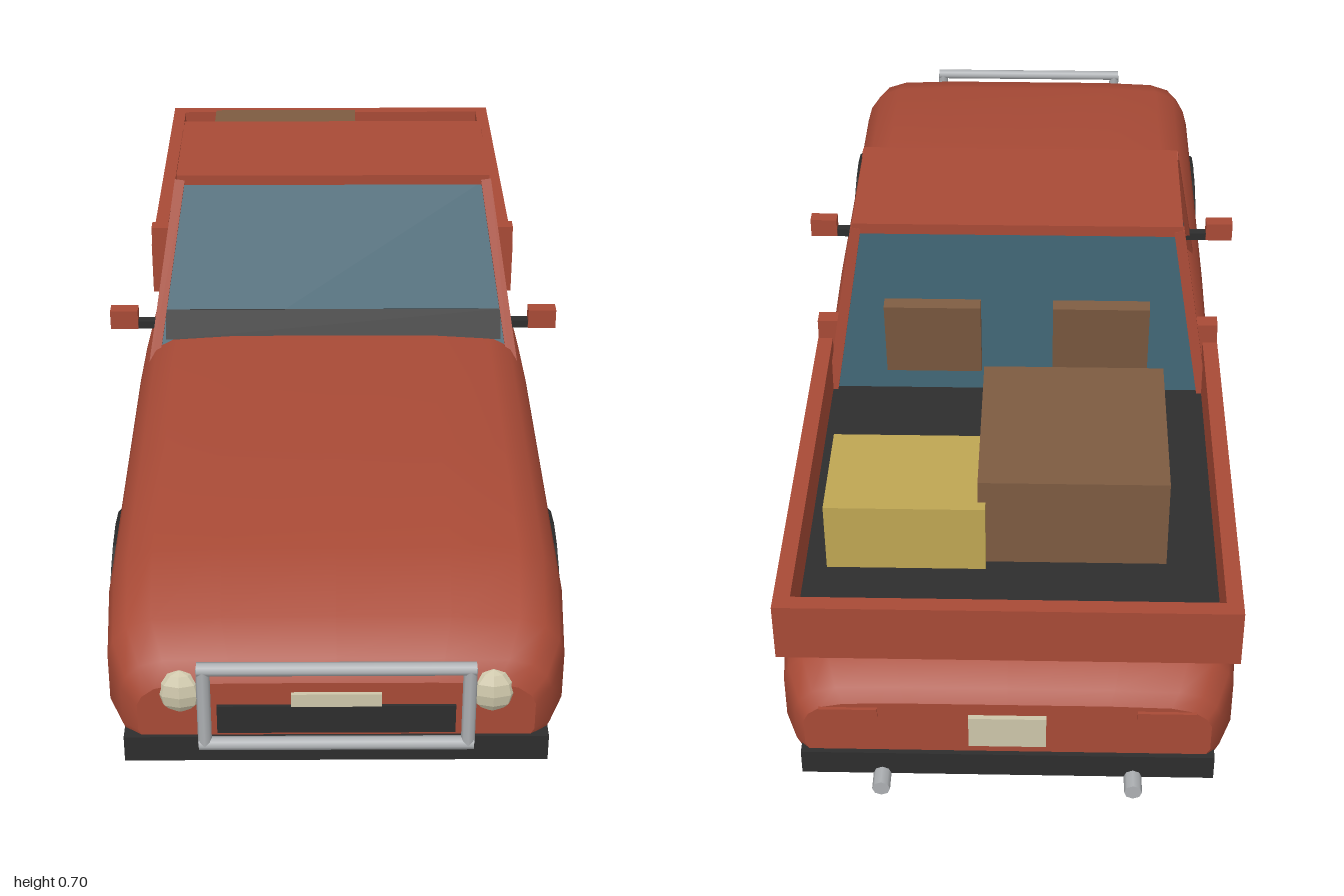
import * as THREE from 'three';

const mat = (name, color, opts = {}) => {
  const m = new THREE.MeshStandardMaterial({ color, ...opts });
  m.name = name;
  return m;
};

export function createModel() {
  const red = mat('red paint', 0xa84a36);
  const dark = mat('dark trim', 0x2d2d2d);
  const rubber = mat('rubber', 0x292929, { flatShading: true });
  const glass = mat('glass', 0x406473);
  const silver = mat('silver metal', 0xadb0b3);
  const cream = mat('cream', 0xcdc6aa, { flatShading: true });
  const brown = mat('brown', 0x7d5b41);
  const yellow = mat('yellow', 0xbfa653);

  const model = new THREE.Group();
  model.name = 'pickupTruck';

  const add = (name, geo, material, pos = [0, 0, 0], parent = model) => {
    const m = new THREE.Mesh(geo, material);
    m.name = name;
    m.position.set(...pos);
    parent.add(m);
    return m;
  };
  // Box given by its min and max on each axis
  const box = (name, material, [x0, x1], [y0, y1], [z0, z1], parent) =>
    add(name, new THREE.BoxGeometry(x1 - x0, y1 - y0, z1 - z0), material,
      [(x0 + x1) / 2, (y0 + y1) / 2, (z0 + z1) / 2], parent);
  // Bar running between two points
  const bar = (name, material, a, b, w, sides = 0) => {
    const p = new THREE.Vector3(...a), q = new THREE.Vector3(...b);
    const d = q.clone().sub(p), len = d.length();
    const geo = sides ? new THREE.CylinderGeometry(w / 2, w / 2, len, sides) : new THREE.BoxGeometry(w, len, w);
    const m = add(name, geo, material, p.add(q).multiplyScalar(0.5).toArray());
    m.quaternion.setFromUnitVectors(new THREE.Vector3(0, 1, 0), d.normalize());
    return m;
  };
  // Mirrored range on x
  const span = (s, a, b) => (s > 0 ? [a, b] : [-b, -a]);

  // Body shell: one rounded section lofted along z (z, half width, bottom, top)
  const stations = [
    [0.968, 0.30, 0.165, 0.29], [0.95, 0.325, 0.152, 0.322], [0.9, 0.348, 0.145, 0.36],
    [0.78, 0.355, 0.14, 0.41], [0.5, 0.355, 0.14, 0.422], [0.15, 0.355, 0.14, 0.436],
    [0, 0.355, 0.14, 0.42], [-0.26, 0.355, 0.14, 0.358], [-0.84, 0.355, 0.14, 0.358],
    [-0.9, 0.35, 0.145, 0.35], [-0.945, 0.33, 0.152, 0.315], [-0.96, 0.315, 0.165, 0.295],
  ];
  const half = [[0, 0], [0.6, 0], [0.85, 0.025], [0.96, 0.12], [1, 0.3], [1, 0.68],
    [0.975, 0.8], [0.91, 0.92], [0.8, 0.98], [0.5, 1], [0, 1]];
  const section = [...half, ...half.slice(1, -1).reverse().map(([x, y]) => [-x, y])];
  const n = section.length;
  const ring = ([z, w, b, t]) => section.flatMap(([x, y]) => [x * w, b + y * (t - b), z]);
  const pos = stations.flatMap(ring), idx = [];
  for (let i = 0; i < stations.length - 1; i++) {
    for (let j = 0; j < n; j++) {
      const k = (j + 1) % n, a = i * n + j, b = i * n + k, c = a + n, d = b + n;
      idx.push(a, c, b, b, c, d);
    }
  }
  // Flat end caps with their own vertices
  [stations[0], stations[stations.length - 1]].forEach((s, e) => {
    const o = pos.length / 3;
    pos.push(...ring(s));
    for (let j = 1; j < n - 1; j++) idx.push(o, o + (e ? j + 1 : j), o + (e ? j : j + 1));
  });
  const shell = new THREE.BufferGeometry();
  shell.setAttribute('position', new THREE.Float32BufferAttribute(pos, 3));
  shell.setIndex(idx);
  shell.computeVertexNormals();
  add('body', shell, red);

  // Cabin glass: a tapered block
  const low = { y: 0.33, x: 0.336, f: 0.185, r: -0.258 }, high = { y: 0.69, x: 0.278, f: 0.02, r: -0.226 };
  const cabin = new THREE.BoxGeometry(1, 1, 1).toNonIndexed();
  const cp = cabin.attributes.position;
  for (let i = 0; i < cp.count; i++) {
    const e = cp.getY(i) > 0 ? high : low;
    cp.setXYZ(i, Math.sign(cp.getX(i)) * e.x, e.y, cp.getZ(i) > 0 ? e.f : e.r);
  }
  cabin.computeVertexNormals();
  add('cabinGlass', cabin, glass);

  // Roof, pillars and cowl strip
  box('roof', red, [-0.284, 0.284], [0.68, 0.7], [-0.234, 0.024]);
  for (const s of [1, -1]) {
    bar('frontPillar', red, [s * low.x, low.y, low.f], [s * high.x, high.y, high.f], 0.018);
    bar('rearPillar', red, [s * low.x, low.y, low.r], [s * high.x, high.y, high.r], 0.018);
  }
  const cowl = add('cowlStrip', new THREE.BoxGeometry(0.61, 0.055, 0.012), dark, [0, 0.452, 0.132]);
  cowl.rotation.x = -0.43;

  // Load bed
  box('bedFloor', dark, [-0.335, 0.335], [0.345, 0.366], [-0.9, -0.25]);
  box('tailgate', red, [-0.355, 0.355], [0.35, 0.453], [-0.92, -0.895]);
  for (const s of [1, -1]) {
    box('bedSide', red, span(s, 0.33, 0.356), [0.35, 0.453], [-0.92, -0.2]);
    box('bedPost', red, span(s, 0.312, 0.355), [0.35, 0.49], [-0.228, -0.2]);
    box('mirror', red, span(s, 0.355, 0.405), [0.447, 0.483], [0.115, 0.14]);
    box('mirrorArm', dark, span(s, 0.31, 0.356), [0.445, 0.46], [0.118, 0.135]);
    const seat = add('seatBack', new THREE.BoxGeometry(0.168, 0.15, 0.024), brown, [s * 0.147, 0.485, -0.26]);
    seat.rotation.x = -0.12;
  }
  box('brownCrate', brown, [-0.25, 0.052], [0.366, 0.53], [-0.715, -0.41]);
  box('yellowCrate', yellow, [0.04, 0.295], [0.366, 0.49], [-0.733, -0.548]);

  // Bumpers, grille and plates
  box('frontBumper', dark, [-0.322, 0.322], [0.148, 0.193], [0.925, 0.974]);
  box('rearBumper', dark, [-0.322, 0.322], [0.148, 0.193], [-0.968, -0.92]);
  box('grille', dark, [-0.18, 0.18], [0.2, 0.25], [0.94, 0.973]);
  box('frontPlate', cream, [-0.068, 0.068], [0.25, 0.273], [0.966, 0.974]);
  box('rearPlate', cream, [-0.06, 0.06], [0.212, 0.272], [-0.968, -0.959]);

  // Bull bar
  const bx = 0.198, by0 = 0.193, by1 = 0.332, bz = 0.988;
  for (const y of [by0, by1]) bar('bullBarRail', silver, [-bx - 0.009, y, bz], [bx + 0.009, y, bz], 0.021, 8);
  for (const s of [1, -1]) {
    bar('bullBarPost', silver, [s * bx, by0, bz], [s * bx, by1, bz], 0.021, 8);
    const lamp = add('headlight', new THREE.SphereGeometry(0.037, 8, 6), cream, [s * 0.235, 0.27, 0.958]);
    lamp.scale.z = 0.6;
    box('tailLight', red, span(s, 0.2, 0.29), [0.268, 0.285], [-0.965, -0.945]);
    bar('exhaust', silver, [s * 0.196, 0.148, -0.9], [s * 0.196, 0.148, -1], 0.028, 8);
  }

  // Wheels, built with the outer face towards +x
  const tyreProfile = [[0.09, -0.04], [0.138, -0.045], [0.152, -0.035], [0.155, 0.035],
    [0.138, 0.045], [0.098, 0.047], [0.09, 0.03]].map(([r, h]) => new THREE.Vector2(r, h));
  const makeWheel = () => {
    const wheel = new THREE.Group();
    wheel.name = 'wheel';
    const round = (name, geo, material, x) => {
      const m = add(name, geo, material, [x, 0, 0], wheel);
      m.rotation.z = -Math.PI / 2;
      return m;
    };
    round('tyre', new THREE.LatheGeometry(tyreProfile, 24), rubber, 0);
    round('tyreShoulder', new THREE.CylinderGeometry(0.161, 0.163, 0.012, 20), rubber, 0.036);
    round('rim', new THREE.CylinderGeometry(0.097, 0.097, 0.06, 24), dark, 0.012);
    round('rimBack', new THREE.CylinderGeometry(0.088, 0.088, 0.008, 24), glass, -0.022);
    round('hubCap', new THREE.CylinderGeometry(0.016, 0.016, 0.012, 8), silver, 0.045);
    const backRing = add('rimBackRing', new THREE.TorusGeometry(0.082, 0.006, 4, 24), silver, [-0.026, 0, 0], wheel);
    backRing.rotation.y = Math.PI / 2;
    for (let i = 0; i < 20; i++) {
      const a = (i / 20) * Math.PI * 2;
      const put = (name, size, material, x, r) => {
        const m = add(name, new THREE.BoxGeometry(...size), material, [x, Math.cos(a) * r, Math.sin(a) * r], wheel);
        m.rotation.x = a;
      };
      put('rimMark', [0.006, 0.007, 0.02], silver, 0.042, 0.084);
      if (i % 5 < 4) put('tread', [0.078, 0.02, 0.026], rubber, -0.002, 0.15);
    }
    return wheel;
  };
  for (const z of [0.595, -0.575]) {
    for (const s of [1, -1]) {
      const wheel = makeWheel();
      wheel.position.set(s * 0.32, 0.1635, z);
      if (s < 0) wheel.rotation.y = Math.PI;
      model.add(wheel);
    }
  }
  return model;
}
